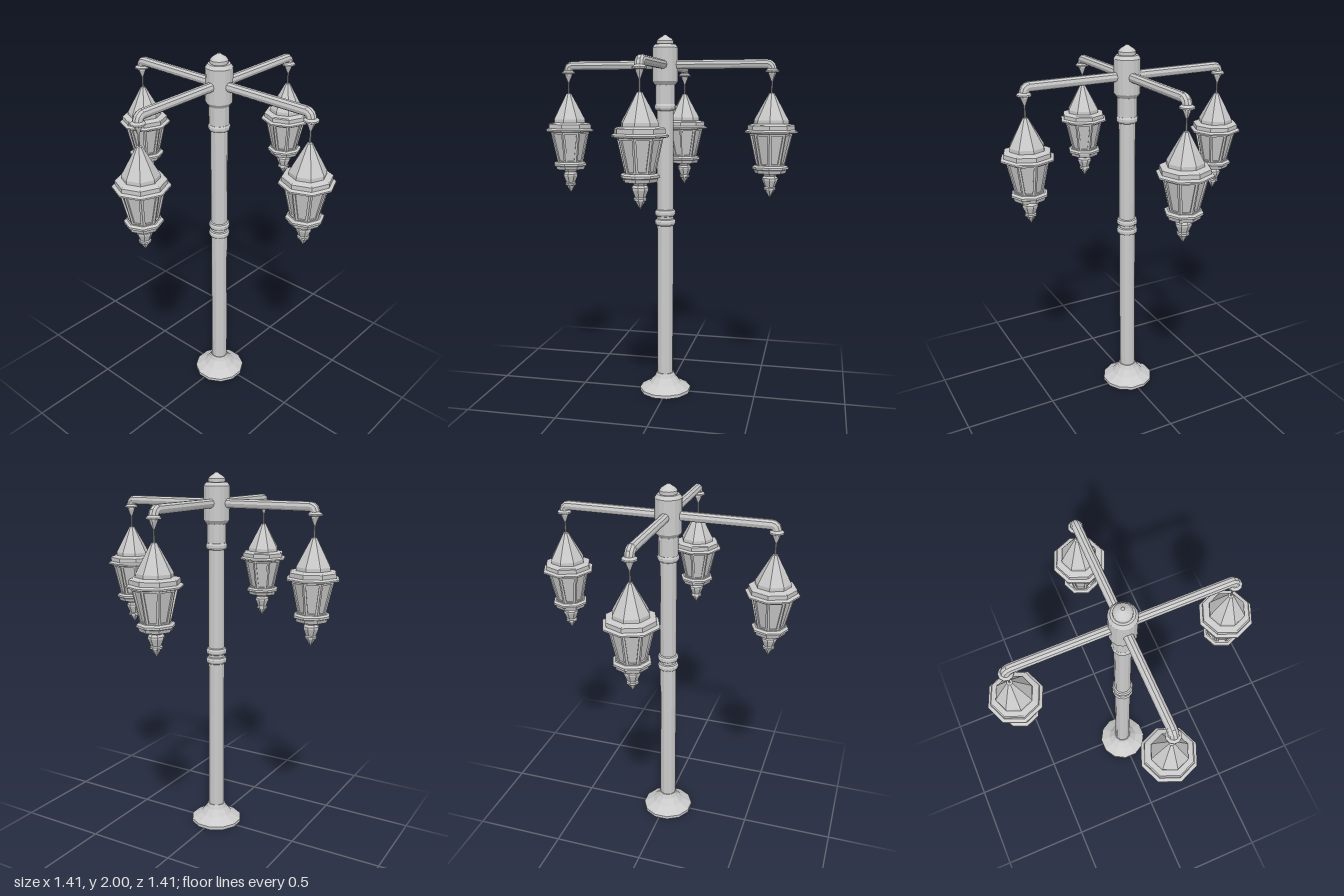
import * as THREE from 'three';

const grey = new THREE.MeshStandardMaterial({ color: 0xcccccc, flatShading: true, side: THREE.DoubleSide });

function add(parent, name, geometry) {
  const mesh = new THREE.Mesh(geometry, grey);
  mesh.name = name;
  parent.add(mesh);
  return mesh;
}

// Faceted turned part from [radius, y] pairs, bottom to top
function turned(parent, name, sides, profile, turn = 0) {
  const points = profile.map(([r, y]) => new THREE.Vector2(r, y));
  return add(parent, name, new THREE.LatheGeometry(points, sides, turn));
}

// Trapezoid outline, centred on x, from y0 to y1
function trapezoid(Kind, w0, w1, y0, y1) {
  const p = new Kind();
  p.moveTo(-w0, y0);
  p.lineTo(w0, y0);
  p.lineTo(w1, y1);
  p.lineTo(-w1, y1);
  p.closePath();
  return p;
}

function createLantern() {
  const lantern = new THREE.Group();
  lantern.name = 'lantern';
  const sides = 8;

  // Hanger: collar, pointed drop and thin rod
  turned(lantern, 'hangerCollar', 10, [[0, 1.755], [0.006, 1.755], [0.02, 1.79],
    [0.02, 1.797], [0.037, 1.8], [0.037, 1.808], [0.024, 1.818], [0, 1.818]]);
  turned(lantern, 'hangerRod', 6, [[0.0045, 1.68], [0.0045, 1.76]]);

  // Stepped roof with flared spire
  turned(lantern, 'roof', sides, [[0, 1.48], [0.125, 1.48], [0.141, 1.484], [0.141, 1.492],
    [0.125, 1.5], [0.125, 1.522], [0.119, 1.527], [0.092, 1.532], [0.092, 1.55],
    [0.065, 1.6], [0.014, 1.692], [0, 1.694]]);

  // Glass body
  turned(lantern, 'glass', sides, [[0.066, 1.3], [0.106, 1.49]]);

  // Tapered window frames, one on each face
  const rBottom = 0.075, rTop = 0.116, yBottom = 1.305, yTop = 1.485;
  const cos = Math.cos(Math.PI / sides), sin = Math.sin(Math.PI / sides);
  const tilt = Math.atan2((rTop - rBottom) * cos, yTop - yBottom);
  const slant = Math.hypot((rTop - rBottom) * cos, yTop - yBottom);
  const shape = trapezoid(THREE.Shape, rBottom * sin, rTop * sin, 0, slant);
  shape.holes.push(trapezoid(THREE.Path, rBottom * sin - 0.011, rTop * sin - 0.012, 0.014, slant - 0.016));
  const frameGeometry = new THREE.ExtrudeGeometry(shape, { depth: 0.01, bevelEnabled: false });
  frameGeometry.translate(0, 0, -0.01);
  frameGeometry.rotateX(tilt);
  frameGeometry.translate(0, yBottom, rBottom * cos);
  for (let i = 0; i < sides; i++) {
    add(lantern, 'windowFrame', frameGeometry).rotation.y = (i + 0.5) * Math.PI * 2 / sides;
  }

  // Lower rim and hanging finial
  turned(lantern, 'lowerRim', sides, [[0, 1.25], [0.03, 1.252], [0.04, 1.266], [0.082, 1.27],
    [0.088, 1.288], [0.097, 1.292], [0.097, 1.303], [0.084, 1.312], [0, 1.312]]);
  turned(lantern, 'finial', sides, [[0, 1.136], [0.026, 1.178], [0.032, 1.18], [0.032, 1.19],
    [0.027, 1.196], [0.042, 1.232], [0.042, 1.243], [0.032, 1.254], [0, 1.254]]);
  return lantern;
}

// Arm reaching out along +x, with elbow and lantern at the end
function createArm(reach) {
  const arm = new THREE.Group();
  arm.name = 'arm';
  const y = 1.843, r = 0.025, length = reach - 0.025;
  const bar = add(arm, 'armBar', new THREE.CylinderGeometry(r, r, length, 10));
  bar.rotation.z = Math.PI / 2;
  bar.position.set(length / 2, y, 0);
  const bend = new THREE.QuadraticBezierCurve3(
    new THREE.Vector3(length - 0.005, y, 0),
    new THREE.Vector3(reach, y, 0),
    new THREE.Vector3(reach, 1.806, 0));
  add(arm, 'elbow', new THREE.TubeGeometry(bend, 4, r, 10));
  const lantern = createLantern();
  lantern.position.x = reach;
  arm.add(lantern);
  return arm;
}

export function createModel() {
  const model = new THREE.Group();
  model.name = 'streetLamp';
  const post = new THREE.Group();
  post.name = 'post';
  post.position.x = -0.013;
  model.add(post);

  // Flared foot and shaft
  const turn = Math.PI / 12;
  turned(post, 'foot', 12, [[0, 0], [0.145, 0], [0.145, 0.018], [0.09, 0.05],
    [0.06, 0.085], [0.049, 0.11], [0, 0.11]], turn);
  turned(post, 'shaft', 12, [[0.045, 0.1], [0.045, 1.64]], turn);

  // Ring mouldings
  for (const y of [0.985, 1.037, 1.618]) {
    turned(post, 'ring', 12, [[0.044, y - 0.02], [0.053, y - 0.016], [0.058, y - 0.006],
      [0.058, y + 0.006], [0.053, y + 0.016], [0.044, y + 0.02]], turn);
  }

  // Neck, hub and pointed cap
  turned(post, 'neck', 12, [[0.045, 1.625], [0.053, 1.635], [0.053, 1.75]], turn);
  turned(post, 'hub', 16, [[0, 1.735], [0.055, 1.735], [0.07, 1.755], [0.07, 1.932],
    [0.057, 1.95], [0, 1.95]]);
  turned(post, 'cap', 16, [[0.04, 1.945], [0.046, 1.952], [0.046, 1.968], [0.036, 1.98],
    [0.012, 1.995], [0.008, 2.0], [0, 2.0]]);

  // Four arms with hanging lanterns
  [0.574, 0.562, 0.551, 0.562].forEach((reach, i) => {
    const arm = createArm(reach);
    arm.rotation.y = i * Math.PI / 2;
    post.add(arm);
  });
  return model;
}
